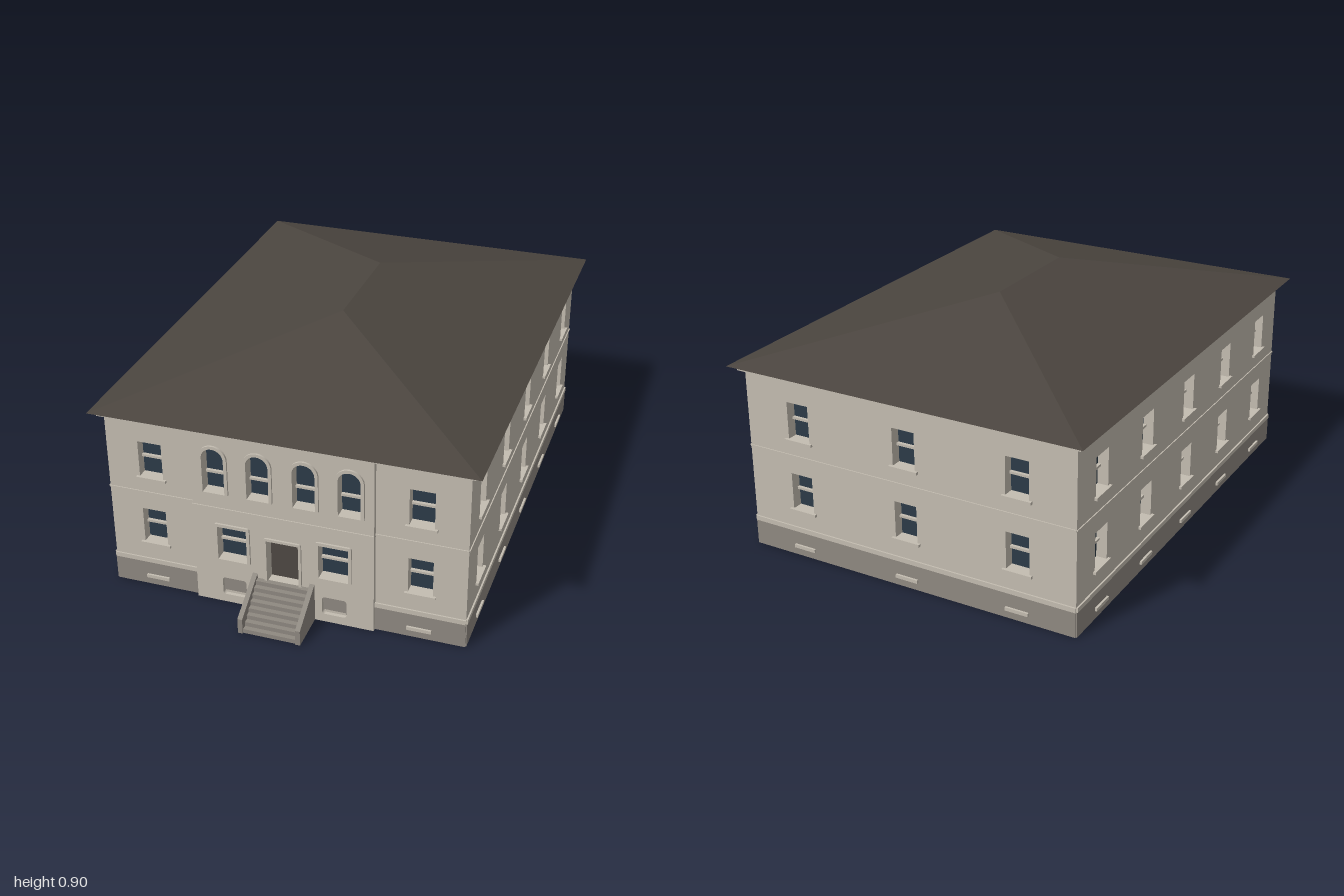
import * as THREE from 'three';

const mat = (name, color, side = THREE.DoubleSide) => {
  const m = new THREE.MeshStandardMaterial({ color, side });
  m.name = name;
  return m;
};

export function createModel() {
  const stone = mat('stone wall', 0xc4bdb1);
  const plinthGrey = mat('plinth grey', 0x8f8981);
  const roofBrown = mat('roof brown', 0x4b453f);
  const doorBrown = mat('door brown', 0x4f4843);
  const glassBlue = mat('glass blue', 0x2c3b48);

  const HX = 0.667, FRONT = 0.825, BACK = -0.95, BAY = 0.337, BAY_Z = 0.843;
  const MID = (FRONT + BACK) / 2, LEN = FRONT - BACK, TOP = 0.72, DEPTH = 0.04;

  const model = new THREE.Group();
  model.name = 'building';

  const add = (parent, name, geo, material, x = 0, y = 0, z = 0) => {
    const mesh = new THREE.Mesh(geo, material);
    mesh.name = name;
    mesh.position.set(x, y, z);
    parent.add(mesh);
    return mesh;
  };
  // box given by its lower edge
  const box = (parent, name, material, w, h, d, x, y, z) =>
    add(parent, name, new THREE.BoxGeometry(w, h, d), material, x, y + h / 2, z);

  // rectangle with optional rounded corners (rb bottom, rt top)
  const outline = (x, y0, y1, w, rb = 0, rt = 0, Type = THREE.Path) => {
    const p = new Type(), l = x - w / 2, r = x + w / 2, q = Math.PI / 2;
    p.moveTo(l + rb, y0);
    p.lineTo(r - rb, y0);
    if (rb) p.absarc(r - rb, y0 + rb, rb, -q, 0, false);
    p.lineTo(r, y1 - rt);
    if (rt) {
      p.absarc(r - rt, y1 - rt, rt, 0, q, false);
      p.absarc(l + rt, y1 - rt, rt, q, 2 * q, false);
    } else p.lineTo(l, y1);
    p.lineTo(l, y0 + rb);
    if (rb) p.absarc(l + rb, y0 + rb, rb, 2 * q, 3 * q, false);
    p.closePath();
    return p;
  };

  // sides of an opening, running inward from the wall face
  const revealGeometry = (path) => {
    const pts = path.getPoints(8), pos = [];
    for (let i = 0; i < pts.length; i++) {
      const a = pts[i], b = pts[(i + 1) % pts.length];
      if (a.distanceTo(b) < 1e-5) continue;
      pos.push(a.x, a.y, 0, a.x, a.y, -DEPTH, b.x, b.y, 0);
      pos.push(b.x, b.y, 0, a.x, a.y, -DEPTH, b.x, b.y, -DEPTH);
    }
    const g = new THREE.BufferGeometry();
    g.setAttribute('position', new THREE.Float32BufferAttribute(pos, 3));
    g.computeVertexNormals();
    return g;
  };

  // thin wall with openings; local z points outward
  const wall = (name, width, openings, x, z, turn) => {
    const group = new THREE.Group();
    group.name = name;
    group.position.set(x, 0, z);
    group.rotation.y = turn;
    model.add(group);
    const shape = outline(0, 0, TOP, width, 0, 0, THREE.Shape);
    for (const o of openings) {
      const { x: ox, y0, y1, w, rb = 0, rt = 0 } = o;
      const hole = outline(ox, y0, y1, w, rb, rt);
      shape.holes.push(hole);
      add(group, 'reveal', revealGeometry(hole), stone);
      add(group, o.door ? 'door' : 'glass',
        new THREE.ShapeGeometry(outline(ox, y0, y1, w, rb, rt, THREE.Shape), 8),
        o.door ? doorBrown : glassBlue, 0, 0, -DEPTH);
      if (o.rail) box(group, 'meetingRail', stone, w, 0.009, 0.012, ox, o.rail, -DEPTH + 0.006);
      if (o.sill) box(group, 'sill', stone, w + 0.024, 0.01, 0.014, ox, y0 - 0.009, 0.004);
      if (o.vent) box(group, 'basementSill', stone, w, 0.013, 0.014, ox, 0.031, 0.005);
      if (o.trim) {
        const t = o.trim;
        const ring = outline(ox, y0 - (o.door ? 0 : t), y1 + t, w + 2 * t,
          o.door ? 0 : 0.015, rt ? rt + t : 0.01, THREE.Shape);
        ring.holes.push(outline(ox, y0, y1, w, rb, rt));
        add(group, 'surround', new THREE.ExtrudeGeometry(ring,
          { depth: 0.008, bevelEnabled: false, curveSegments: 8 }), stone);
      }
    }
    add(group, 'wallFace', new THREE.ShapeGeometry(shape, 8), stone);
    return group;
  };

  // two storeys and a basement light at each position
  const bays = (xs) => xs.flatMap((x) => [
    { x, y0: 0.467, y1: 0.61, w: 0.09, rail: 0.533, sill: true },
    { x, y0: 0.188, y1: 0.33, w: 0.09, rail: 0.254, sill: true },
    { x, y0: 0.031, y1: 0.092, w: 0.09, vent: true },
  ]);

  // plinth, water table and string course of a plain wall
  const bands = (group, width) => {
    box(group, 'plinth', plinthGrey, width, 0.096, 0.004, 0, 0, 0.002);
    box(group, 'waterTable', stone, width, 0.018, 0.006, 0, 0.097, 0.003);
    box(group, 'stringCourse', stone, width, 0.006, 0.004, 0, 0.4, 0.002);
  };

  // side and back walls
  const step = LEN / 5;
  const sideXs = [-2, -1, 0, 1, 2].map((i) => i * step);
  for (const s of [1, -1]) {
    bands(wall(s > 0 ? 'leftWall' : 'rightWall', LEN, bays(sideXs), s * HX, MID, s * Math.PI / 2), LEN);
  }
  bands(wall('backWall', 2 * HX, bays([-0.445, 0, 0.445]), 0, BACK, Math.PI), 2 * HX);

  // front wings and the small returns beside the centre bay
  const wingW = HX - BAY;
  for (const s of [1, -1]) {
    const cx = s * (HX + BAY) / 2;
    bands(wall('frontWing', wingW, bays([s * 0.5 - cx]), cx, FRONT, 0), wingW);
    const ret = add(model, 'bayReturn', new THREE.PlaneGeometry(BAY_Z - FRONT, TOP),
      stone, s * BAY, TOP / 2, (BAY_Z + FRONT) / 2);
    ret.rotation.y = s * Math.PI / 2;
  }

  // centre bay with arched windows, entrance and basement lights
  const centre = [{ x: 0, y0: 0.13, y1: 0.305, w: 0.12, door: true, trim: 0.01 }];
  for (const x of [-0.25, -0.085, 0.085, 0.25]) {
    centre.push({ x, y0: 0.467, y1: 0.645, w: 0.082, rt: 0.04, rail: 0.528, trim: 0.012 });
  }
  for (const x of [-0.19, 0.19]) {
    centre.push({ x, y0: 0.19, y1: 0.328, w: 0.11, rail: 0.254, trim: 0.012 });
    centre.push({ x, y0: 0.033, y1: 0.106, w: 0.092, rb: 0.012, rt: 0.012 });
  }
  const bay = wall('centreBay', 2 * BAY, centre, 0, BAY_Z, 0);
  box(bay, 'stringCourse', stone, 2 * BAY, 0.006, 0.004, 0, 0.4, 0.002);
  for (const x of [-0.19, 0.19]) {
    box(bay, 'basementPanel', plinthGrey, 0.092, 0.055, 0.004, x, 0.043, -0.016);
    box(bay, 'basementLintel', stone, 0.092, 0.008, 0.004, x, 0.098, -0.016);
    box(bay, 'basementSill', stone, 0.08, 0.01, 0.004, x, 0.033, -0.016);
  }

  // entrance stairs with sloping side walls
  const stairs = new THREE.Group();
  stairs.name = 'stairs';
  model.add(stairs);
  const N = 8, run = (0.995 - BAY_Z) / N, rise = 0.134 / N;
  for (let i = 0; i < N; i++) {
    const z1 = 0.995 - i * run;
    box(stairs, 'step', plinthGrey, 0.2, rise, z1 - BAY_Z, 0, i * rise, (z1 + BAY_Z) / 2);
  }
  const cheek = new THREE.Shape([[BAY_Z, 0], [1, 0], [1, 0.06], [BAY_Z, 0.153]]
    .map(([z, y]) => new THREE.Vector2(-z, y)));
  const cheekGeo = new THREE.ExtrudeGeometry(cheek, { depth: 0.018, bevelEnabled: false });
  cheekGeo.rotateY(Math.PI / 2);
  for (const x of [-0.117, 0.099]) add(stairs, 'stairSideWall', cheekGeo, plinthGrey, x, 0, 0);

  // cornice ring under the eaves
  const cornice = outline(0, -LEN / 2 - 0.02, LEN / 2 + 0.02, 2 * HX + 0.04, 0, 0, THREE.Shape);
  cornice.holes.push(outline(0, -LEN / 2, LEN / 2, 2 * HX));
  const corniceGeo = new THREE.ExtrudeGeometry(cornice, { depth: 0.02, bevelEnabled: false });
  corniceGeo.rotateX(-Math.PI / 2);
  add(model, 'cornice', corniceGeo, stone, 0, 0.699, MID);

  // hipped roof: a box whose top is pinched to a ridge
  const RX = 0.71, RZ = 0.9365, RIDGE = 0.23, rise2 = 0.182;
  const pos = [];
  const A = [-RX, 0, RZ], B = [RX, 0, RZ], C = [RX, 0, -RZ], D = [-RX, 0, -RZ];
  const E = [0, rise2, RIDGE], F = [0, rise2, -RIDGE];
  for (const t of [[A, B, E], [B, C, F], [B, F, E], [C, D, F], [D, A, E], [D, E, F], [A, D, C], [A, C, B]]) {
    pos.push(...t.flat());
  }
  const roofGeo = new THREE.BufferGeometry();
  roofGeo.setAttribute('position', new THREE.Float32BufferAttribute(pos, 3));
  roofGeo.computeVertexNormals();
  add(model, 'roof', roofGeo, roofBrown, 0, TOP, MID - 0.001);

  return model;
}
